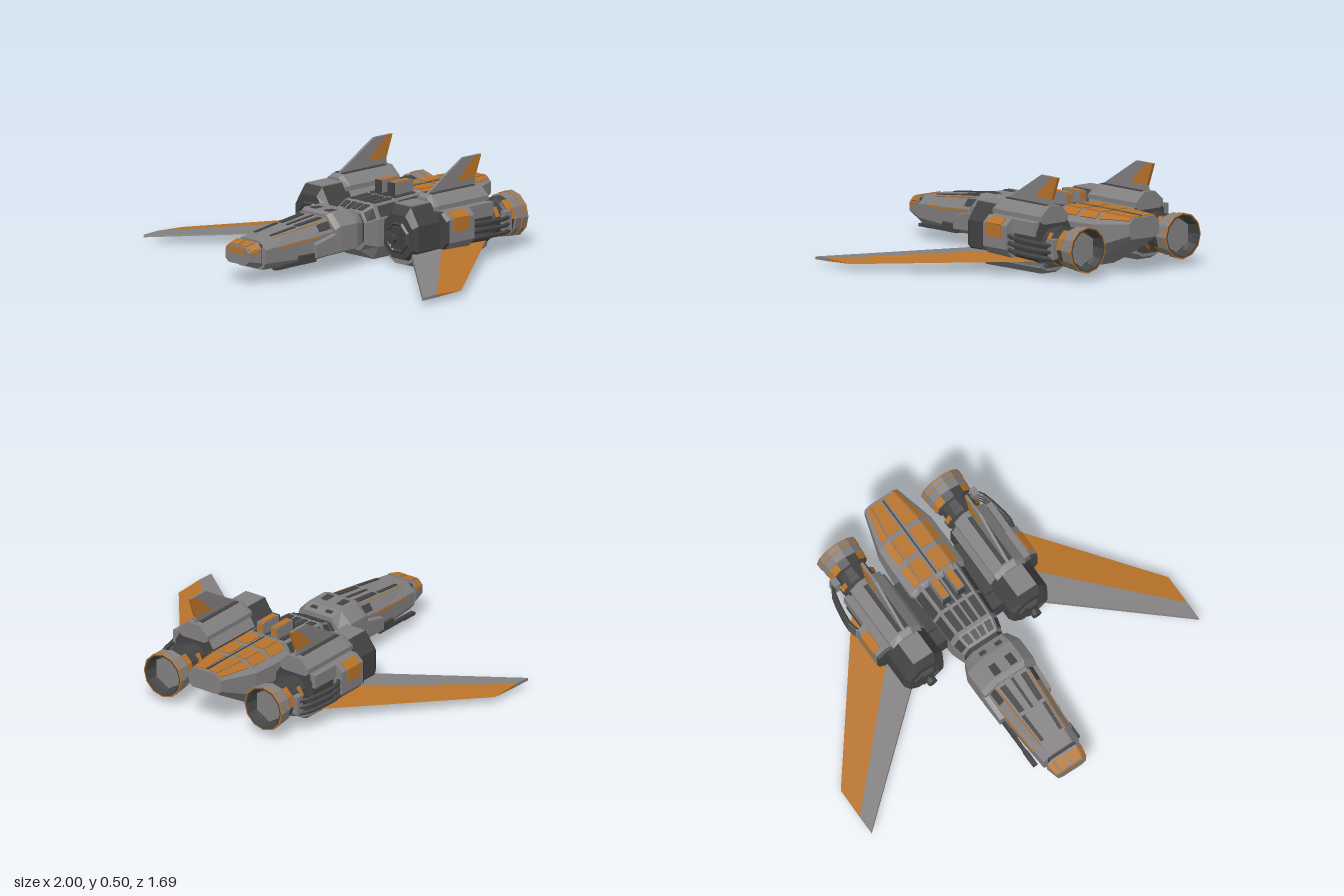
import * as THREE from 'three';

const mat = (name, color) => Object.assign(new THREE.MeshStandardMaterial({ color }), { name });

// Closed solid through loops of 3D points; each loop runs counter-clockwise seen from the first one's outside
function loft(loops) {
  const v = [], n = loops[0].length, last = loops.length - 1;
  const tri = (a, b, c) => v.push(...a, ...b, ...c);
  for (let j = 0; j < last; j++) for (let i = 0; i < n; i++) {
    const k = (i + 1) % n, A = loops[j], B = loops[j + 1];
    tri(A[i], B[i], B[k]);
    tri(A[i], B[k], A[k]);
  }
  for (let i = 1; i < n - 1; i++) {
    tri(loops[0][0], loops[0][i], loops[0][i + 1]);
    tri(loops[last][0], loops[last][i + 1], loops[last][i]);
  }
  const g = new THREE.BufferGeometry();
  g.setAttribute('position', new THREE.Float32BufferAttribute(v, 3));
  return g;
}

// Eight-sided section: [z, top, middle, bottom half-widths, four heights upward], centred on cx
const ring = ([z, wt, wm, wb, y0, y1, y2, y3], cx = 0) => [
  [wb, y0], [wm, y1], [wm, y2], [wt, y3], [-wt, y3], [-wm, y2], [-wm, y1], [-wb, y0],
].map(([x, y]) => [cx + x, y, z]);
const hull = (S, cx = 0) => loft(S.map(s => ring(s, cx)));

// Thin plate over a polygon
function plate(pts) {
  const P = pts.map(p => new THREE.Vector3(...p));
  const n = P[1].clone().sub(P[0]).cross(P[2].clone().sub(P[0])).normalize();
  const off = d => P.map(p => p.clone().addScaledVector(n, d).toArray());
  return loft([off(0.005), off(-0.004)]);
}

// Plate lying on side k of a hull, from z0 back to z1 and across t0..t1
function patch(S, z0, z1, k, t0, t1, cx = 0) {
  const at = (z, t) => {
    let i = 0;
    while (i < S.length - 2 && z < S[i + 1][0]) i++;
    const f = (S[i][0] - z) / (S[i][0] - S[i + 1][0]);
    const r = ring(S[i].map((a, q) => a + (S[i + 1][q] - a) * f), cx);
    return r[k].map((a, q) => a + (r[(k + 1) % 8][q] - a) * t);
  };
  return plate([at(z0, t0), at(z1, t0), at(z1, t1), at(z0, t1)]);
}

const box = (x, y, z, w, h, d) => new THREE.BoxGeometry(w, h, d).translate(x, y, z);
// Turned part along z: points are [radius, distance rearward]; angles in degrees clockwise from the top
const turned = (pts, x, y, n = 12, from = 0, sweep = 360) => new THREE.LatheGeometry(
  pts.map(p => new THREE.Vector2(...p)), n, from * Math.PI / 180, sweep * Math.PI / 180)
  .rotateX(-Math.PI / 2).translate(x, y, 0);
const pipe = (pts, r) => new THREE.TubeGeometry(
  new THREE.CatmullRomCurve3(pts.map(p => new THREE.Vector3(...p))), 8, r, 6);

export function createModel() {
  const root = new THREE.Group();
  root.name = 'starfighter';
  const grey = mat('hull grey', 0x828080), dark = mat('dark metal', 0x434343), orange = mat('orange paint', 0xb8732a);

  const add = (name, geo, material) => {
    const g = geo.index ? geo.toNonIndexed() : geo;
    g.computeVertexNormals();
    const m = new THREE.Mesh(g, material);
    m.name = name;
    root.add(m);
  };
  // Adds a part on the left and its mirror image on the right
  const pair = (name, geo, material) => {
    const a = geo.index ? geo.toNonIndexed() : geo, b = a.clone();
    const p = a.attributes.position, q = b.attributes.position;
    for (let i = 0; i < p.count; i += 3) [0, 2, 1].forEach((s, k) =>
      q.setXYZ(i + k, -p.getX(i + s), p.getY(i + s), p.getZ(i + s)));
    add(name + 'Left', a, material);
    add(name + 'Right', b, material);
  };

  // Nose cap with painted panels
  const nose = [[0.84, 0.06, 0.085, 0.06, 0.11, 0.13, 0.175, 0.2], [0.765, 0.07, 0.1, 0.075, 0.085, 0.115, 0.19, 0.218]];
  add('noseCap', hull(nose), grey);
  add('noseJoint', box(0, 0.15, 0.753, 0.16, 0.11, 0.04), dark);
  pair('noseTopPanel', patch(nose, 0.832, 0.775, 3, 0.02, 0.45), orange);
  pair('noseCheekPanel', patch(nose, 0.832, 0.775, 2, 0.1, 0.85), orange);
  pair('noseSidePanel', patch(nose, 0.832, 0.775, 1, 0.7, 0.95), orange);
  add('noseFrontPanel', box(0, 0.178, 0.84, 0.13, 0.026, 0.008), orange);

  // Forward fuselage and canopy
  const fore = [
    [0.745, 0.065, 0.108, 0.08, 0.075, 0.11, 0.18, 0.222],
    [0.5, 0.08, 0.122, 0.095, 0.068, 0.1, 0.195, 0.252],
    [0.44, 0.083, 0.127, 0.095, 0.07, 0.1, 0.198, 0.258],
    [0.29, 0.092, 0.135, 0.1, 0.08, 0.11, 0.21, 0.275],
  ];
  const cabin = [
    [0.3, 0.085, 0.155, 0.1, 0.08, 0.105, 0.22, 0.288],
    [0.27, 0.1, 0.16, 0.1, 0.08, 0.105, 0.235, 0.295],
    [0.15, 0.1, 0.16, 0.1, 0.083, 0.108, 0.235, 0.295],
    [0.085, 0.09, 0.13, 0.09, 0.09, 0.115, 0.22, 0.275],
  ];
  add('forwardFuselage', hull(fore), grey);
  add('cockpitRear', hull(cabin), grey);
  pair('sponson', loft([
    [[0.09, 0.078, 0.43], [0.155, 0.1, 0.43], [0.155, 0.165, 0.43], [0.09, 0.175, 0.43]],
    [[0.09, 0.08, 0.29], [0.16, 0.105, 0.29], [0.16, 0.2, 0.29], [0.1, 0.21, 0.29]],
  ]), grey);
  for (const [z0, z1, z2] of [[0.67, 0.5, 0.5], [0.5, 0.32, 0.38]]) {
    pair('canopyUpperStripe', patch(fore, z0, z1, 2, 0.85, 0.91), orange);
    pair('canopyLowerStripe', patch(fore, z0, z2, 1, 0.88, 0.97), orange);
  }
  pair('sideWindow', patch(fore, 0.38, 0.305, 2, 0.22, 0.76), dark);
  pair('canopySlit', patch(fore, 0.66, 0.5, 3, 0.04, 0.16), dark);
  pair('canopyRearSlit', patch(fore, 0.48, 0.32, 3, 0.06, 0.24), dark);
  add('canopySpine', patch(fore, 0.49, 0.31, 3, 0.46, 0.54), dark);
  pair('cockpitVent', patch(cabin, 0.26, 0.11, 3, 0.15, 0.35), dark);

  // Chin guns
  pair('chinGun', box(0.13, 0.085, 0.53, 0.018, 0.02, 0.22), dark);
  pair('gunMuzzle', box(0.13, 0.083, 0.66, 0.026, 0.016, 0.09), dark);
  pair('gunMount', box(0.125, 0.1, 0.48, 0.03, 0.04, 0.1), dark);

  // Neck, middle and rear hull
  add('neck', hull([0.1, 0.04].map(z => [z, 0.08, 0.11, 0.08, 0.09, 0.12, 0.21, 0.25])), dark);
  const mid = [
    [0.055, 0.085, 0.115, 0.08, 0.065, 0.1, 0.21, 0.26],
    [-0.02, 0.1, 0.135, 0.1, 0.012, 0.08, 0.22, 0.29],
    [-0.35, 0.11, 0.15, 0.1, 0.012, 0.08, 0.24, 0.305],
  ];
  const rear = [
    [-0.33, 0.085, 0.15, 0.1, 0.012, 0.08, 0.25, 0.308],
    [-0.35, 0.09, 0.163, 0.1, 0.012, 0.08, 0.255, 0.312],
    [-0.5, 0.09, 0.163, 0.1, 0.018, 0.09, 0.255, 0.312],
    [-0.63, 0.09, 0.16, 0.1, 0.08, 0.14, 0.26, 0.312],
    [-0.845, 0.068, 0.1, 0.08, 0.2, 0.22, 0.28, 0.308],
  ];
  add('middleHull', hull(mid), grey);
  add('rearHull', hull(rear), grey);
  for (const [z0, z1] of [[0.04, -0.01], [-0.04, -0.16], [-0.18, -0.32]]) {
    pair('deckTrench', patch(mid, z0, z1, 3, 0.06, 0.24), dark);
    pair('deckInnerTrench', patch(mid, z0, z1, 3, 0.32, 0.47), dark);
    pair('deckShoulder', patch(mid, z0, z1, 2, 0.1, 0.85), dark);
  }
  for (const [z0, z1] of [[-0.36, -0.475], [-0.505, -0.622], [-0.65, -0.832]]) {
    pair('rearTopPanel', patch(rear, z0, z1, 3, 0.02, 0.41), orange);
    pair('rearShoulderPanel', patch(rear, z0, z1, 2, 0.45, 0.96), orange);
  }
  add('rearSpineGroove', box(0, 0.311, -0.59, 0.008, 0.008, 0.47), dark);

  // Dorsal turret barrels
  pair('dorsalBlock', box(0.045, 0.333, -0.265, 0.042, 0.068, 0.13), grey);
  pair('dorsalMuzzle', box(0.045, 0.333, -0.198, 0.044, 0.07, 0.008), dark);
  pair('dorsalPanel', box(0.045, 0.367, -0.265, 0.034, 0.008, 0.105), orange);
  pair('dorsalRearPanel', box(0.045, 0.342, -0.33, 0.034, 0.04, 0.008), orange);

  // Pylons to the engine pods
  pair('pylon', box(0.17, 0.16, -0.255, 0.1, 0.12, 0.39), dark);
  pair('pylonRib', box(0.175, 0.165, -0.2, 0.06, 0.15, 0.12), dark);

  // Engine pods
  const X = 0.318, Y = 0.165;
  const pod = [
    [0.02, 0.05, 0.1, 0.05, 0.06, 0.11, 0.22, 0.28],
    [-0.01, 0.06, 0.116, 0.06, 0.045, 0.1, 0.235, 0.325],
    [-0.52, 0.06, 0.116, 0.06, 0.045, 0.1, 0.235, 0.325],
  ];
  pair('pod', hull(pod, X), dark);
  pair('podTop', hull([
    [-0.15, 0.03, 0.085, 0.07, 0.27, 0.285, 0.305, 0.345],
    [-0.18, 0.035, 0.09, 0.07, 0.27, 0.285, 0.31, 0.358],
    [-0.525, 0.035, 0.09, 0.07, 0.27, 0.285, 0.31, 0.358],
  ], X), grey);
  pair('podKeel', hull([
    [0, 0.09, 0.085, 0.04, 0.025, 0.05, 0.06, 0.075],
    [-0.06, 0.1, 0.095, 0.045, 0.008, 0.05, 0.06, 0.08],
    [-0.48, 0.1, 0.095, 0.045, 0.012, 0.05, 0.06, 0.08],
    [-0.52, 0.09, 0.085, 0.04, 0.03, 0.05, 0.06, 0.075],
  ], X), grey);
  pair('podFrontTop', patch(pod, -0.015, -0.15, 3, 0.02, 0.98, X), grey);
  pair('podInnerShoulder', patch(pod, -0.17, -0.51, 4, 0.2, 0.95, X), grey);
  pair('podOuterShoulder', patch(pod, -0.17, -0.51, 2, 0.05, 0.8, X), grey);
  for (const d of [-0.021, 0.021]) pair('podTrench', box(X + d, 0.357, -0.34, 0.024, 0.009, 0.3), dark);
  pair('intakeRing', new THREE.TorusGeometry(0.075, 0.01, 4, 8).rotateZ(Math.PI / 8).translate(X, Y, 0.022), dark);
  pair('intakeCore', box(X, Y, 0.025, 0.06, 0.11, 0.03), dark);
  pair('intakeProbe', turned([[0, -0.075], [0.026, -0.075], [0.026, -0.05], [0.013, -0.045], [0.013, 0]], X, Y, 8), dark);

  // Outer fairing with dark front, painted hatch, pipes and bracket
  const fairing = [
    [-0.16, 0.03, 0.07, 0.03, 0.09, 0.13, 0.24, 0.275],
    [-0.175, 0.035, 0.075, 0.035, 0.085, 0.13, 0.25, 0.285],
    [-0.35, 0.035, 0.075, 0.035, 0.085, 0.13, 0.25, 0.285],
  ];
  pair('fairingFront', hull(fairing.slice(0, 2), 0.412), dark);
  pair('fairing', hull(fairing.slice(1), 0.412), grey);
  pair('fairingHatch', patch(fairing, -0.2, -0.31, 1, 0.45, 1, 0.412), orange);
  pair('fairingTopHatch', patch(fairing, -0.2, -0.31, 2, 0, 0.9, 0.412), orange);
  pair('rearSidePanel', box(0.435, 0.25, -0.435, 0.03, 0.07, 0.17), grey);
  for (const y of [0.13, 0.165, 0.2])
    pair('fuelPipe', pipe([[0.45, y, -0.33], [0.485, y, -0.38], [0.475, y - 0.01, -0.52], [0.44, y - 0.015, -0.63], [0.39, y - 0.015, -0.66]], 0.012), dark);
  pair('pipeBracket', box(0.425, 0.165, -0.635, 0.035, 0.1, 0.045), grey);

  // Engines: dark core, grey nozzle shell, dark throat, six-sided inner plate
  pair('engineCore', turned([[0.085, 0.5], [0.085, 0.56], [0.1, 0.57], [0.1, 0.6], [0.085, 0.605], [0.085, 0.645], [0.1, 0.655], [0.104, 0.7]], X, Y), dark);
  pair('nozzle', turned([[0.1, 0.695], [0.112, 0.7], [0.112, 0.745], [0.117, 0.75], [0.117, 0.776]], X, Y), grey);
  pair('nozzleRim', turned([[0.117, 0.774], [0.119, 0.775], [0.118, 0.78], [0.112, 0.78]], X, Y), orange);
  pair('nozzleThroat', turned([[0.112, 0.78], [0.104, 0.778], [0.096, 0.74], [0.09, 0.72], [0, 0.72]], X, Y), dark);
  pair('nozzlePlate', turned([[0.09, 0.72], [0.09, 0.728], [0, 0.728]], X, Y, 6), grey);
  pair('nozzleTrim', turned([[0.112, 0.744], [0.117, 0.745], [0.117, 0.75]], X, Y), orange);
  for (const [from, sweep] of [[30, 60], [270, 60], [120, 30], [210, 30]]) {
    pair('enginePatch', turned([[0.103, 0.656], [0.107, 0.658], [0.109, 0.696]], X, Y, sweep / 30, from, sweep), orange);
    pair('engineBandPatch', turned([[0.1, 0.571], [0.104, 0.573], [0.104, 0.597], [0.1, 0.599]], X, Y, 1, from + sweep / 4, 30), orange);
  }

  // Swept wings: grey blunt leading strip and painted rear
  const tip = (z, y) => [1, y, z], base = (z, y) => [0.4, y, z];
  pair('wingLeading', loft([
    [tip(0.518, 0.03), tip(0.415, 0.032), tip(0.415, 0.048), tip(0.515, 0.044)],
    [base(0.008, 0.07), base(-0.206, 0.068), base(-0.206, 0.1), base(0.005, 0.09)],
  ]), grey);
  pair('wingRear', loft([
    [tip(0.415, 0.032), tip(0.245, 0.04), tip(0.415, 0.048)],
    [base(-0.206, 0.068), base(-0.52, 0.084), base(-0.206, 0.1)],
  ]), orange);

  // Tail fins
  const fin = (pts, w) => loft([w, -w].map(d => pts.map(([z, y]) => [X + d, y, z])));
  pair('tailFin', fin([[-0.16, 0.345], [-0.52, 0.345], [-0.512, 0.39], [-0.555, 0.505], [-0.43, 0.505]], 0.007), grey);
  pair('finPanel', fin([[-0.385, 0.39], [-0.513, 0.39], [-0.556, 0.504], [-0.51, 0.504]], 0.008), orange);

  return root;
}
